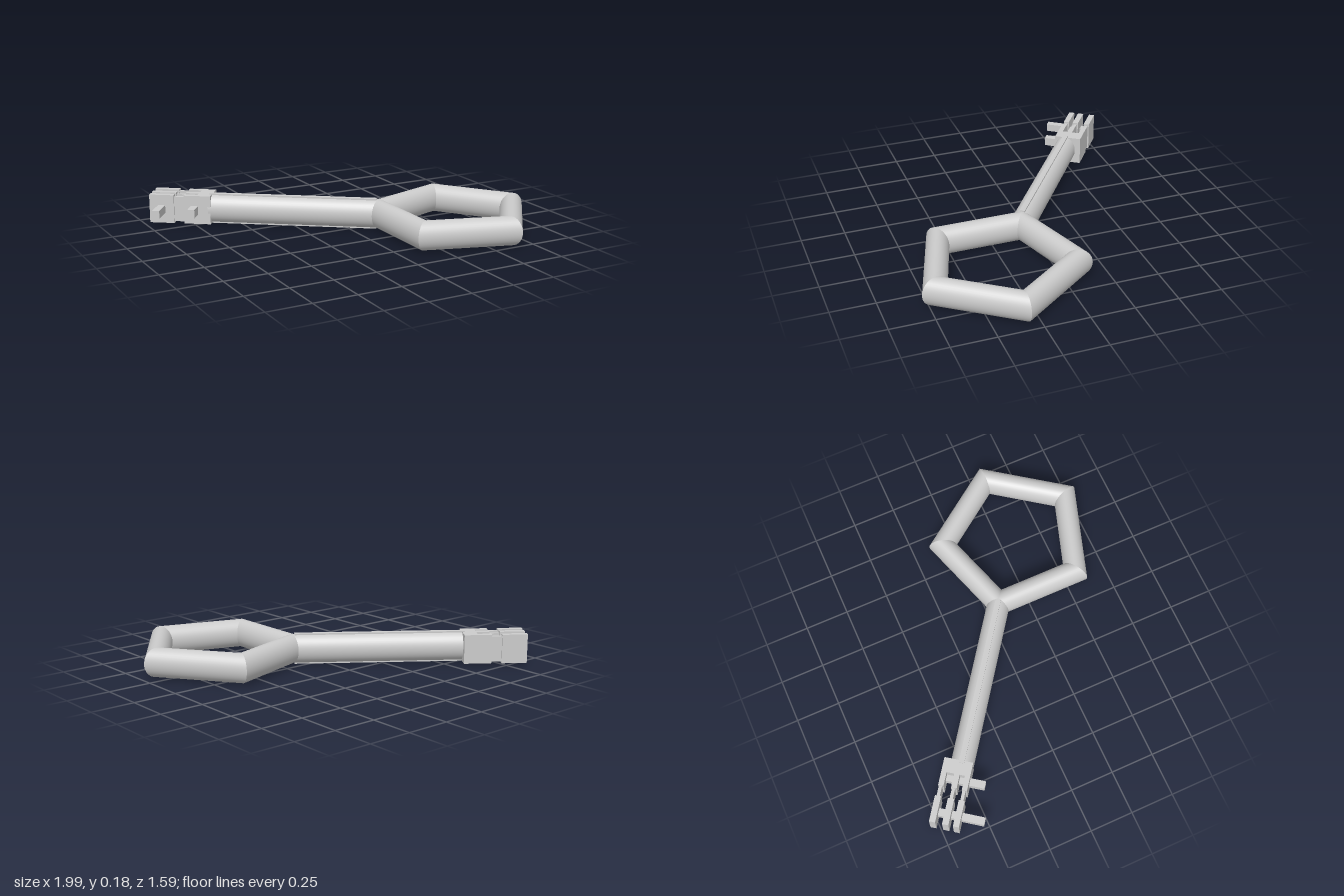
import * as THREE from 'three';

const MID = 0.088;         // height of the centre line
const HALF_W = 0.065;      // oval rod, half width
const HALF_H = 0.083;      // oval rod, half height

export function createModel() {
  const model = new THREE.Group();
  model.name = 'key';
  const mat = new THREE.MeshStandardMaterial({ color: 0xcccccc, side: THREE.DoubleSide });

  // Local frame: origin at the ring centre, +x along the shaft to the bit.
  const key = new THREE.Group();
  key.name = 'keyBody';
  key.position.set(0.4925, 0, 0.317);
  key.rotation.y = THREE.MathUtils.degToRad(144);
  model.add(key);

  const add = (name, geometry) => {
    const mesh = new THREE.Mesh(geometry, mat);
    mesh.name = name;
    key.add(mesh);
    return mesh;
  };

  // Box given by its limits along the shaft (x), height (y) and across (z).
  const box = (name, x0, x1, y0, y1, z0, z1) =>
    add(name, new THREE.BoxGeometry(x1 - x0, y1 - y0, z1 - z0))
      .position.set((x0 + x1) / 2, (y0 + y1) / 2, (z0 + z1) / 2);

  // Five-sided bow: oval rods whose ends are sheared to mitre at the corners
  const apothem = 0.338;
  const mitre = Math.tan(Math.PI / 5);
  for (let k = 0; k < 5; k++) {
    const g = new THREE.CylinderGeometry(1, 1, 2, 40, 1, true);
    g.rotateX(Math.PI / 2);
    g.scale(HALF_W, HALF_H, 1);
    const p = g.attributes.position;
    for (let i = 0; i < p.count; i++) {
      const x = apothem + p.getX(i);
      p.setX(i, x);
      p.setZ(i, Math.sign(p.getZ(i)) * x * mitre);
    }
    const side = add('bowSide', g);
    side.position.y = MID;
    side.rotation.y = Math.PI / 5 + (k * 2 * Math.PI) / 5;
  }

  // Shaft with a thin raised rib above and below
  const shaft = new THREE.CylinderGeometry(1, 1, 0.99, 40);
  shaft.rotateZ(-Math.PI / 2);
  shaft.scale(1, HALF_H, HALF_W);
  add('shaft', shaft).position.set(0.915, MID, 0);
  box('shaftRib', 0.43, 1.41, 0, 0.177, -0.015, 0.015);

  // Collar block, and slotted fins on either side of the gap
  box('collar', 1.395, 1.475, 0.004, 0.172, -0.063, 0.098);
  const fins = [[0.068, 0.102], [-0.005, 0.03], [-0.063, -0.03]];
  for (const [z0, z1] of fins) {
    box('collarFin', 1.47, 1.553, 0.004, 0.172, z0, z1 - 0.004);
    box('bitFin', 1.612, 1.758, 0.004, 0.172, z0, z1);
    // Narrow tongue bridging the gap
    const mid = (z0 + z1) / 2;
    box('tongue', 1.47, 1.66, 0.014, 0.162, mid - 0.009, mid + 0.009);
  }

  // Square pins crossing the fins and sticking out as teeth
  box('shortTooth', 1.468, 1.51, 0.062, 0.112, -0.15, 0.085);
  box('longTooth', 1.664, 1.706, 0.065, 0.111, -0.19, 0.085);

  return model;
}
